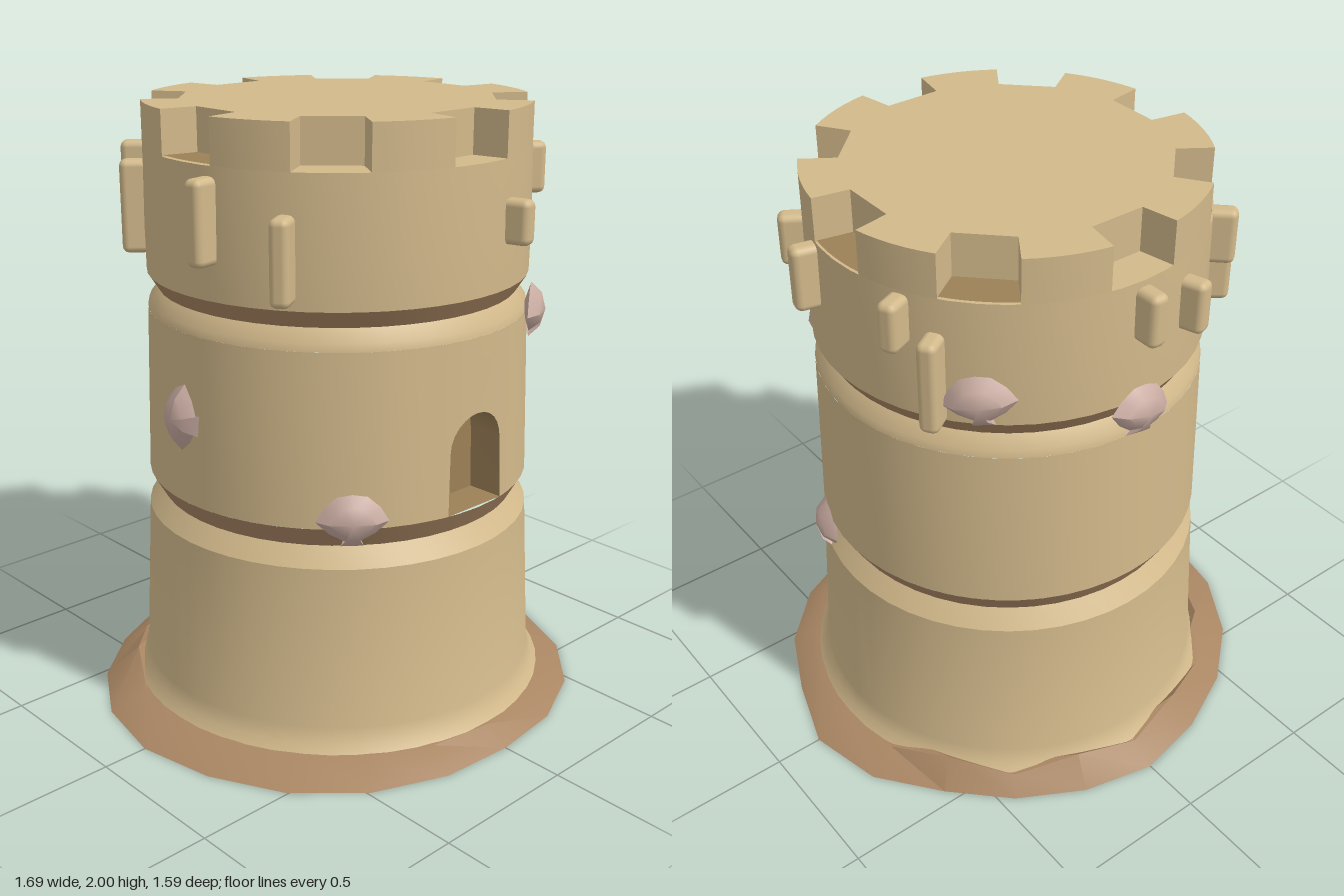
import * as THREE from 'three';
import { toCreasedNormals } from 'three/addons/utils/BufferGeometryUtils.js';
import { RoundedBoxGeometry } from 'three/addons/geometries/RoundedBoxGeometry.js';

const TAU = Math.PI * 2;
const material = (name, color, side = THREE.FrontSide) => {
  const m = new THREE.MeshStandardMaterial({ color, side });
  m.name = name;
  return m;
};

export function createModel() {
  const tower = new THREE.Group();
  tower.name = 'sandTower';
  const sand = material('drySand', 0xd2b98b);
  const wet = material('wetSand', 0xa98663);
  const damp = material('dampHollow', 0x9c8057, THREE.DoubleSide);
  const pink = material('shellPink', 0xc9aca2);

  const add = (name, geometry, mat, parent = tower) => {
    const mesh = new THREE.Mesh(geometry, mat);
    mesh.name = name;
    parent.add(mesh);
    return mesh;
  };
  const ring = (name, points, mat, start = 0, length = TAU) => add(name, toCreasedNormals(
    new THREE.LatheGeometry(points.map(p => new THREE.Vector2(...p)), 48, start, length), 0.5), mat);

  // Irregular wet skirt, its upper edge ragged at the back
  const reach = [0.79, 0.8, 0.81, 0.81, 0.8, 0.84, 0.82, 0.77, 0.77, 0.78,
    0.8, 0.79, 0.8, 0.82, 0.84, 0.85, 0.84, 0.84, 0.83, 0.81];
  const skirt = new THREE.LatheGeometry(
    [[0, 0], [1, 0], [0.715, 0.055], [0.66, 0.06]].map(p => new THREE.Vector2(...p)), 20);
  const sp = skirt.attributes.position;
  for (let i = 0; i <= 20; i++) {
    const k = i % 20, phi = k / 20 * TAU;
    sp.setXYZ(i * 4 + 1, reach[k] * Math.sin(phi), 0, reach[k] * Math.cos(phi));
    if (k > 6 && k < 14 && k % 2) {
      sp.setXYZ(i * 4 + 2, 0.705 * Math.sin(phi), 0.1, 0.705 * Math.cos(phi));
    }
  }
  add('skirt', toCreasedNormals(skirt, 0.5), wet);

  // Stacked wall tiers with wet grooves between them
  const open = 0.26;
  const wallRadius = y => 0.635 - 0.015 * (y - 0.79) / 0.55;
  ring('lowerWall', [[0.71, 0.05], [0.685, 0.08], [0.668, 0.13], [0.64, 0.66], [0.595, 0.72]], sand);
  ring('lowerGroove', [[0.595, 0.72], [0.635, 0.79]], wet);
  ring('middleWall', [[0.635, 0.79], [0.62, 1.34]], sand, open, TAU - 2 * open);
  ring('middleWallTop', [[0.62, 1.34], [0.615, 1.365], [0.585, 1.405]], sand);
  ring('upperGroove', [[0.585, 1.405], [0.62, 1.46]], wet);
  ring('upperWall', [[0.62, 1.46], [0.622, 1.6], [0.618, 1.86], [0, 1.86]], sand);

  // Doorway: a wall panel curved to the tower, with an arched hollow
  const arch = [[-0.12, 0.79]];
  for (let i = 0; i <= 12; i++) {
    const t = Math.PI * i / 12;
    arch.push([-0.113 * Math.cos(t), 0.99 + 0.11 * Math.sin(t)]);
  }
  arch.push([0.12, 0.79]);
  const surfaceZ = (x, y) => Math.sqrt(wallRadius(y) ** 2 - x * x);
  const outline = [...arch];
  for (const a of [0.22, open]) outline.push([0.635 * Math.sin(a), 0.79]);
  for (let i = 0; i <= 8; i++) outline.push([0.62 * Math.sin(open * (1 - i / 4)), 1.34]);
  for (const a of [-open, -0.22]) outline.push([0.635 * Math.sin(a), 0.79]);
  const shapeOf = pts => new THREE.Shape(pts.map(p => new THREE.Vector2(...p)));
  const panel = new THREE.ShapeGeometry(shapeOf(outline));
  const pp = panel.attributes.position;
  for (let i = 0; i < pp.count; i++) {
    const x = pp.getX(i), z = surfaceZ(x, pp.getY(i)), r = Math.hypot(x, z);
    pp.setZ(i, z);
    panel.attributes.normal.setXYZ(i, x / r, 0, z / r);
  }
  add('doorPanel', panel, sand);

  const loop = [...arch, arch[0]];
  const lining = new THREE.PlaneGeometry(1, 1, loop.length - 1, 1);
  loop.forEach(([x, y], i) => {
    lining.attributes.position.setXYZ(i, x, y, surfaceZ(x, y));
    lining.attributes.position.setXYZ(i + loop.length, x, y, 0.5);
  });
  add('doorLining', toCreasedNormals(lining, 0.6), damp);
  add('doorBack', new THREE.ShapeGeometry(shapeOf(arch)), damp).position.z = 0.5;

  // Crown: flat top with eight notches cut into the rim
  const half = 0.185, crown = [];
  for (let k = 0; k < 8; k++) {
    const c = k * TAU / 8;
    const put = (r, a) => crown.push([r * Math.cos(a), r * Math.sin(a)]);
    put(0.5, c - half);
    put(0.5, c + half);
    for (let j = 0; j <= 6; j++) put(0.618, c + half + (TAU / 8 - 2 * half) * j / 6);
  }
  const crownGeometry = new THREE.ExtrudeGeometry(shapeOf(crown), { depth: 0.14, bevelEnabled: false });
  crownGeometry.rotateX(-Math.PI / 2).translate(0, 1.86, 0);
  add('crown', toCreasedNormals(crownGeometry, 0.5), sand);

  // Damp floors in the side and rear notches
  for (const a of [0, Math.PI, Math.PI / 4, Math.PI * 3 / 4]) {
    const floor = new THREE.RingGeometry(0.49, 0.612, 6, 1, a - half, half * 2);
    add('notchFloor', floor.rotateX(-Math.PI / 2).translate(0, 1.864, 0), damp);
  }

  // Places a part against the wall, facing outward at the direction of (x, z)
  const onWall = (mesh, x, y, z, r) => {
    const a = Math.atan2(x, z);
    mesh.position.set(r * Math.sin(a), y, r * Math.cos(a));
    mesh.rotation.y = a;
  };

  // Dripped sand lumps: x, z, bottom, top
  const drips = [
    [-0.66, 0.11, 1.57, 1.83], [-0.56, 0.36, 1.48, 1.74], [0.15, 0.63, 1.6, 1.74],
    [0.56, 0.35, 1.67, 1.84], [0.63, 0.14, 1.64, 1.85], [0.6, -0.26, 1.69, 1.85],
    [0.55, -0.36, 1.45, 1.75], [0, -0.65, 1.67, 1.84], [-0.2, -0.62, 1.62, 1.79],
    [-0.46, -0.45, 1.68, 1.86], [-0.51, -0.4, 1.51, 1.81],
  ];
  for (const [x, z, low, high] of drips) {
    const lump = add('sandDrip', new RoundedBoxGeometry(0.062, high - low, 0.1, 2, 0.022), sand);
    onWall(lump, x, (low + high) / 2, z, 0.643);
  }

  // Fan-shaped shell: rings of one outline rising to a domed middle
  const rim = [[0.035, -0.085], [0.022, -0.07], [0.07, -0.045], [0.112, -0.005], [0.085, 0.04],
    [0.045, 0.075], [0, 0.082], [-0.045, 0.075], [-0.085, 0.04], [-0.112, -0.005],
    [-0.07, -0.045], [-0.022, -0.07], [-0.035, -0.085]];
  const levels = [[0, -0.025], [1, 0], [0.62, 0.035], [0, 0.05]];
  const n = rim.length, verts = [], faces = [];
  for (const [s, z] of levels) for (const [x, y] of rim) verts.push(x * s, y * s, z);
  for (let l = 0; l < 3; l++) {
    for (let i = 0; i < n; i++) {
      const a = l * n + i, b = l * n + (i + 1) % n;
      faces.push(a, b, b + n, a, b + n, a + n);
    }
  }
  const shellGeometry = new THREE.BufferGeometry();
  shellGeometry.setAttribute('position', new THREE.Float32BufferAttribute(verts, 3));
  shellGeometry.setIndex(faces);
  const shellSmooth = toCreasedNormals(shellGeometry, 0.7);

  // Shells: x, y, z, roll
  const shells = [
    [-0.4, 0.82, 0.49, 0], [0.37, 1.34, 0.51, 0], [-0.64, 1.07, -0.03, 1.45],
    [0.6, 0.735, 0.22, 0.05], [0.45, 1.55, -0.45, 0.15], [0, 1.43, -0.63, -0.2],
  ];
  for (const [x, y, z, roll] of shells) {
    const shell = add('shell', shellSmooth, pink);
    onWall(shell, x, y, z, 0.63);
    shell.rotation.order = 'YXZ';
    shell.rotation.z = roll;
  }
  return tower;
}
